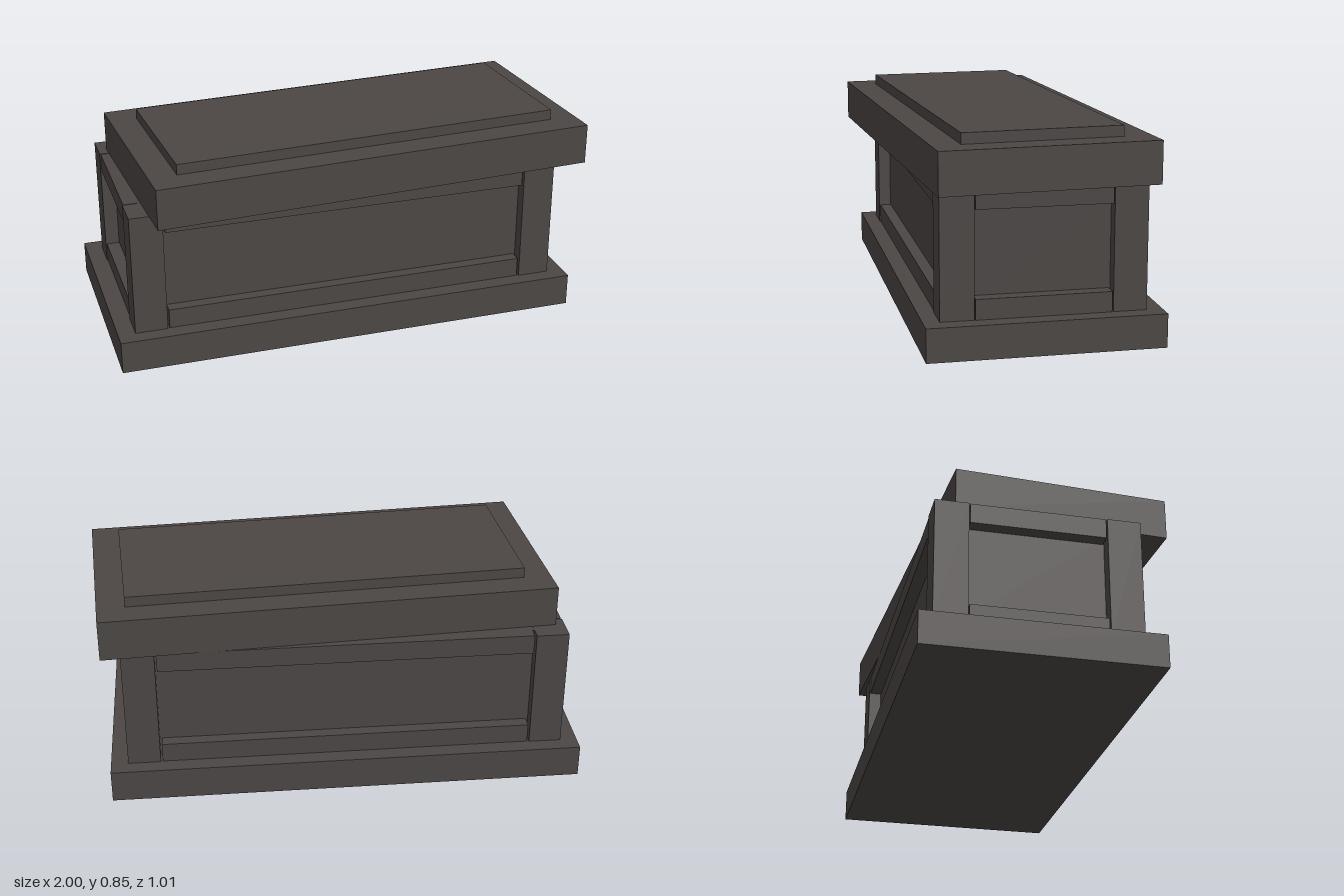
import * as THREE from 'three';

const stone = new THREE.MeshStandardMaterial({ color: 0x4c4745 });
stone.name = 'dark stone';

// Box given by its lower and upper corners
function block(name, [x0, y0, z0], [x1, y1, z1]) {
  const mesh = new THREE.Mesh(new THREE.BoxGeometry(x1 - x0, y1 - y0, z1 - z0), stone);
  mesh.position.set((x0 + x1) / 2, (y0 + y1) / 2, (z0 + z1) / 2);
  mesh.name = name;
  return mesh;
}

export function createModel() {
  const model = new THREE.Group();
  model.name = 'stoneTomb';
  const bottom = 0.135, top = 0.641;

  // Plinth and recessed chest walls
  model.add(block('plinth', [-1, 0, -0.505], [0.94, bottom, 0.43]));
  model.add(block('chest', [-0.872, bottom, -0.388], [0.817, top - 0.001, 0.313]));

  // Corner posts
  for (const x of [-0.93, 0.737])
    for (const z of [-0.441, 0.233])
      model.add(block('cornerPost', [x, bottom, z], [x + 0.133, top, z + 0.133]));

  // Rails framing each panel, below and above
  for (const [y0, y1] of [[bottom, 0.216], [0.56, top]]) {
    for (const z of [-0.438, 0.311])
      model.add(block('longRail', [-0.789, y0, z], [0.729, y1, z + 0.051]));
    for (const x of [-0.926, 0.816])
      model.add(block('endRail', [x, y0, -0.303], [x + 0.056, y1, 0.229]));
  }

  // Heavy lid, pushed askew
  const lid = new THREE.Group();
  lid.name = 'lid';
  lid.add(block('lidSlab', [-0.922, top, -0.429], [0.922, 0.809, 0.429]));
  lid.add(block('lidRaisedPanel', [-0.809, 0.809, -0.316], [0.809, 0.852, 0.316]));
  lid.position.set(0.053, 0, 0.018);
  lid.rotation.y = 0.061;
  model.add(lid);

  return model;
}
